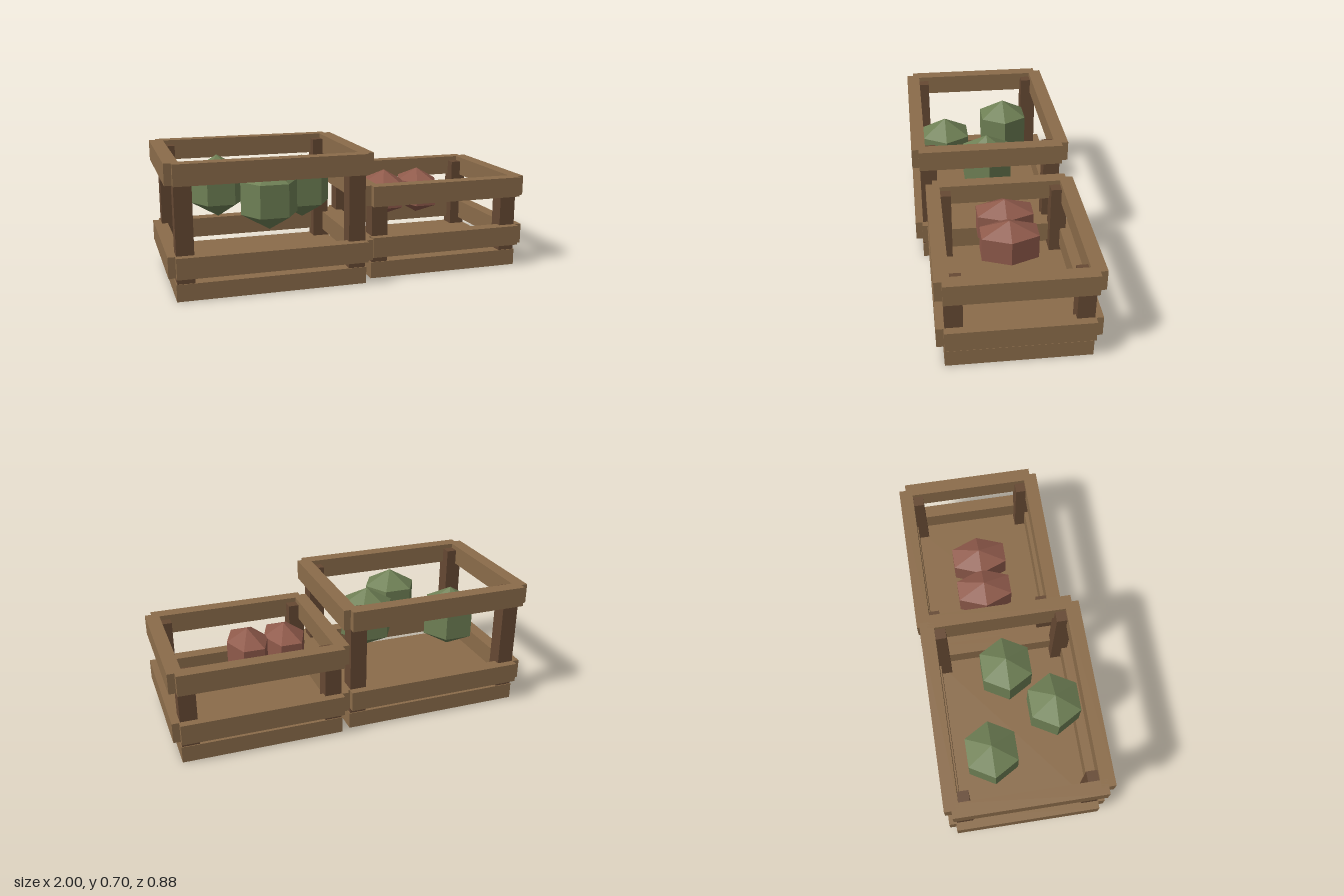
import * as THREE from 'three';

const mat = (name, color) => {
  const m = new THREE.MeshStandardMaterial({ color, flatShading: true });
  m.name = name;
  return m;
};

export function createModel() {
  const group = new THREE.Group();
  const wood = mat('light wood', 0x8b6c4a);
  const darkWood = mat('dark wood', 0x664933);
  const green = mat('green', 0x6f8055);
  const red = mat('red', 0x8f5a4b);

  const box = (parent, name, material, [w, h, d], [x, y, z]) => {
    const mesh = new THREE.Mesh(new THREE.BoxGeometry(w, h, d), material);
    mesh.name = name;
    mesh.position.set(x, y, z);
    parent.add(mesh);
  };

  // Open crate: floor slab, four posts and rails centred on the floor's edges
  const crate = (name, x, z, w, d, railHeights) => {
    const c = new THREE.Group();
    c.name = name;
    c.position.set(x, 0, z);
    const t = 0.075, h = 0.11, post = 0.09;
    const postTop = railHeights[1] + 0.03;
    box(c, 'floor', wood, [w, 0.09, d], [0, 0.045, 0]);
    for (const s of [-1, 1]) {
      for (const r of [-1, 1]) {
        box(c, 'post', darkWood, [post, postTop - 0.002, post],
          [s * (w / 2 - 0.005 - post / 2), postTop / 2 + 0.001, r * (d / 2 - 0.005 - post / 2)]);
      }
      for (const y of railHeights) {
        box(c, 'longRail', wood, [w, h, t], [0, y, s * d / 2]);
        box(c, 'sideRail', wood, [t, h, d], [s * w / 2, y, 0]);
      }
    }
    group.add(c);
  };
  crate('tallCrate', -0.46, 0.011, 1.0, 0.783, [0.181, 0.65]);
  crate('lowCrate', 0.525, -0.033, 0.87, 0.74, [0.181, 0.461]);

  // Faceted produce
  const produce = (name, material, r, stretch, [x, y, z]) => {
    const mesh = new THREE.Mesh(new THREE.SphereGeometry(r, 6, 3), material);
    mesh.name = name;
    mesh.scale.z = stretch;
    mesh.position.set(x, y, z);
    group.add(mesh);
  };
  for (const [x, z] of [[-0.655, -0.138], [-0.205, 0.008], [-0.443, 0.232]]) {
    produce('greenProduce', green, 0.175, 1, [x, 0.47, z]);
  }
  for (const x of [0.3, 0.505]) {
    produce('redProduce', red, 0.132, 1.5, [x, 0.393, -0.035]);
  }

  return group;
}
